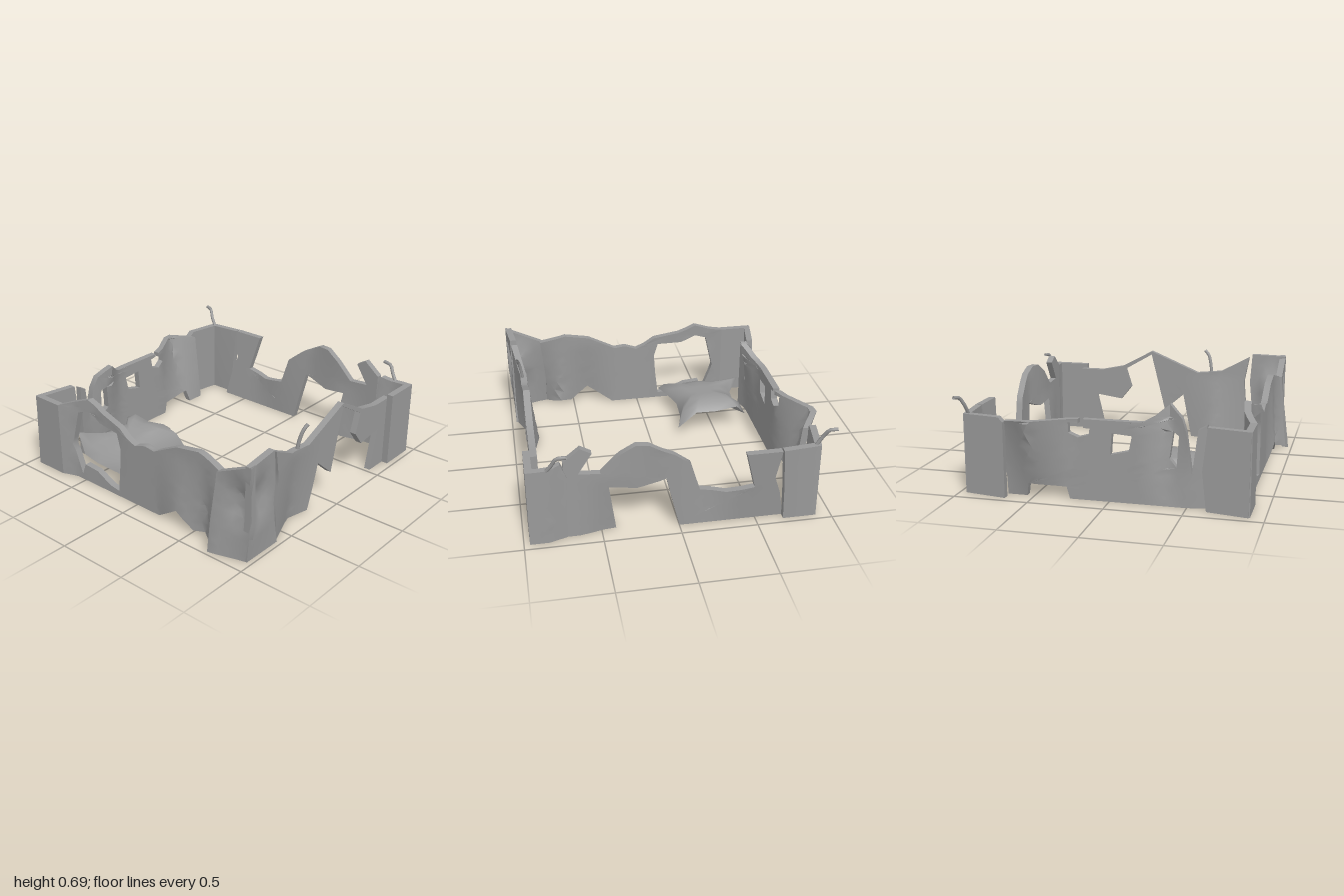
import * as THREE from 'three';
import { toCreasedNormals } from 'three/addons/utils/BufferGeometryUtils.js';

const T = 0.045; // wall thickness
const tri = (v, c, w) => Math.max(0, 1 - Math.abs(v - c) / w);
const low = (y, h) => Math.max(0, 1 - y / h);

// Halve the longest edge of every triangle until none is longer than max
function subdivide(geo, max) {
  const p = geo.attributes.position, stack = [], out = [];
  for (let i = 0; i < p.count; i += 3) {
    stack.push([0, 1, 2].map((k) => new THREE.Vector3().fromBufferAttribute(p, i + k)));
  }
  while (stack.length) {
    const t = stack.pop();
    const len = t.map((v, k) => v.distanceTo(t[(k + 1) % 3]));
    const k = len.indexOf(Math.max(...len));
    if (len[k] <= max) {
      for (const v of t) out.push(v.x, v.y, v.z);
      continue;
    }
    const a = t[k], b = t[(k + 1) % 3], c = t[(k + 2) % 3];
    const m = a.clone().add(b).multiplyScalar(0.5);
    stack.push([a, m, c], [m, b, c]);
  }
  return new THREE.BufferGeometry().setAttribute('position', new THREE.Float32BufferAttribute(out, 3));
}

export function createModel() {
  const model = new THREE.Group();
  const stone = new THREE.MeshStandardMaterial({ color: 0x999999, side: THREE.DoubleSide });
  stone.name = 'grey stone';

  const add = (name, geo) => {
    const mesh = new THREE.Mesh(geo, stone);
    mesh.name = name;
    model.add(mesh);
  };

  // Broken slab drawn as [along, height]; axis is the direction it runs,
  // base its position across, lean(along, y) bends it out of plane.
  function wall(name, axis, base, outline, lean = () => 0, holes = []) {
    const toV = (list) => list.map(([a, b]) => new THREE.Vector2(a, b));
    const shape = new THREE.Shape(toV(outline));
    for (const h of holes) shape.holes.push(new THREE.Path(toV(h)));
    const geo = subdivide(new THREE.ExtrudeGeometry(shape, { depth: T, bevelEnabled: false }), 0.09);
    const p = geo.attributes.position;
    for (let i = 0; i < p.count; i++) {
      const u = p.getX(i), y = p.getY(i), w = p.getZ(i) - T / 2, d = base + lean(u, y);
      if (axis === 'x') p.setXYZ(i, u, y, d + w);
      else p.setXYZ(i, d - w, y, u);
    }
    add(name, toCreasedNormals(geo, 0.6));
  }

  // Front wall with the large breach
  wall('frontWall', 'x', 0.843, [
    [-0.69, 0], [0.2, 0], [0.39, 0.13], [0.52, 0.03], [0.6, 0.04], [0.71, 0.01],
    [0.71, 0.22], [0.74, 0.54], [0.55, 0.59], [0.37, 0.56], [0.17, 0.46], [0.09, 0.47], [0, 0.44],
    [-0.07, 0.47], [-0.14, 0.52], [-0.33, 0.56], [-0.46, 0.615], [-0.69, 0.53],
  ], (x, y) => 0.06 * tri(x, 0.4, 0.2) * low(y, 0.5) + 0.1 * tri(x, 0.72, 0.1) * low(y, 0.55)
    - 0.035 * tri(x, -0.4, 0.3) * (y / 0.6) + 0.04 * tri(x, -0.69, 0.1)
    + 0.025 * tri(x, 0.75, 0.15) * Math.min(1, y * 2), [[
    [-0.53, 0.04], [-0.61, 0.25], [-0.57, 0.42], [-0.55, 0.5], [-0.46, 0.53], [-0.35, 0.48],
    [-0.17, 0.47], [-0.14, 0.37], [-0.15, 0.22], [-0.17, 0.04], [-0.25, 0.05], [-0.38, 0.11], [-0.5, 0.12],
  ]]);

  // Front corner on the -x side
  wall('frontCornerA', 'x', 0.885, [[-0.94, 0], [-0.69, 0], [-0.69, 0.53], [-0.92, 0.53], [-0.92, 0.3]]);
  wall('frontCornerASide', 'z', -0.875, [[0.63, 0], [0.9, 0], [0.9, 0.53], [0.63, 0.53], [0.6, 0.25]],
    (z, y) => -0.18 * (z - 0.63) + 0.02 * (y / 0.53));

  // Front corner on the +x side, dented on both faces and kicked out at the foot
  wall('frontCornerB', 'x', 0.885, [
    [0.71, 0], [0.955, 0], [0.985, 0.2], [0.99, 0.66], [0.73, 0.54], [0.71, 0.22],
  ], (x, y) => 0.07 * tri(x, 0.72, 0.22) * low(y, 0.5) - 0.06 * tri(x, 0.9, 0.1) * tri(y, 0.38, 0.19));
  wall('frontCornerBSide', 'z', 0.945, [
    [0.61, 0], [0.905, 0], [0.905, 0.655], [0.655, 0.665], [0.64, 0.45], [0.655, 0.3], [0.64, 0.18],
  ], (z, y) => 0.1 * (z - 0.65) * Math.min(1, y * 3) - 0.06 * tri(z, 0.79, 0.11) * tri(y, 0.4, 0.19));

  // +x wall with a broken archway
  wall('archWall', 'z', 0.895, [
    [0.6, 0], [0.35, 0], [0.19, 0], [0.12, 0.33], [-0.03, 0.2], [-0.14, 0.64], [-0.355, 0.515],
    [-0.31, 0.37], [-0.39, 0.27], [-0.6, 0.3], [-0.53, 0], [-0.72, 0], [-0.72, 0.5], [-0.55, 0.5],
    [-0.38, 0.535], [-0.14, 0.665], [0.23, 0.51], [0.42, 0.53], [0.63, 0.64], [0.595, 0.45], [0.615, 0.2],
  ], (z, y) => -0.06 * tri(z, 0.35, 0.27) * low(y, 0.5) + 0.045 * tri(z, 0.63, 0.25));

  // Back corner on the +x side
  wall('backCornerCSide', 'z', 0.94, [[-0.95, 0], [-0.69, 0], [-0.69, 0.53], [-0.95, 0.53]]);
  wall('backCornerC', 'x', -0.93, [
    [0.72, 0], [0.96, 0], [0.96, 0.53], [0.82, 0.53], [0.75, 0.55], [0.71, 0.45],
  ], (x) => 0.04 * tri(x, 0.72, 0.12));

  // Back wall: deep notch on top, torn gap below
  wall('backWall', 'x', -0.888, [
    [-0.69, 0], [0, 0], [0.09, 0.38], [0.28, 0.32], [0.45, 0.34], [0.405, 0], [0.72, 0],
    [0.73, 0.55], [0.62, 0.64], [0.55, 0.6], [0.64, 0.46], [0.5, 0.45], [0.38, 0.57], [0.28, 0.635],
    [0.2, 0.635], [0.04, 0.55], [-0.07, 0.46], [-0.13, 0.26], [-0.3, 0.23], [-0.48, 0.26], [-0.41, 0.53],
    [-0.64, 0.53], [-0.61, 0.32], [-0.65, 0.2],
  ], (x, y) => -0.075 * Math.min(1, Math.max(0, (-0.2 - x) / 0.2)) * (y / 0.53)
    - 0.035 * tri(x, 0.12, 0.25) * (y / 0.6) + 0.05 * tri(x, 0.43, 0.2) * low(y, 0.4));

  // Back corner on the -x side
  wall('backCornerD', 'x', -0.935, [[-0.9, 0], [-0.68, 0], [-0.67, 0.25], [-0.65, 0.53], [-0.9, 0.53]],
    (x, y) => -0.1 * (x + 0.9) * (y / 0.53));
  wall('backCornerDSide', 'z', -0.88, [[-0.95, 0], [-0.67, 0], [-0.67, 0.5], [-0.7, 0.53], [-0.95, 0.53]],
    (z) => -0.17 * (z + 0.95));

  // -x wall: outward bulge at the back, inward peak near the front
  wall('jaggedWall', 'z', -0.835, [
    [0.62, 0], [0.22, 0], [-0.26, 0], [-0.28, 0.08], [-0.53, 0.09], [-0.55, 0], [-0.68, 0],
    [-0.68, 0.5], [-0.53, 0.53], [-0.4, 0.53], [-0.28, 0.53], [-0.2, 0.53], [-0.2, 0.5], [-0.26, 0.51],
    [-0.26, 0.44], [-0.2, 0.41], [-0.13, 0.43], [-0.12, 0.5], [-0.17, 0.51], [-0.17, 0.53], [0.22, 0.53],
    [0.28, 0.56], [0.37, 0.635], [0.46, 0.56], [0.49, 0.48], [0.53, 0.22], [0.565, 0.5], [0.62, 0.53],
  ], (z, y) => -0.17 * tri(z, -0.5, 0.27) * (y / 0.53) + 0.1 * tri(z, 0.37, 0.16) * (y / 0.63)
    + 0.03 * tri(z, 0.62, 0.12), [
    [[0.01, 0.31], [0.13, 0.34], [0.15, 0.44], [0.02, 0.45]],
    [[0.38, 0.3], [0.43, 0.25], [0.44, 0.45], [0.4, 0.47]],
  ]);

  // Bent reinforcing rods
  const rods = [
    [[-0.87, 0.52, -0.93], [-0.91, 0.59, -0.94], [-0.94, 0.64, -0.96], [-0.99, 0.65, -0.975]],
    [[0.85, 0.5, -0.93], [0.8, 0.57, -0.95], [0.77, 0.62, -0.965], [0.71, 0.63, -0.975]],
    [[0.9, 0.5, 0.34], [0.91, 0.58, 0.33], [0.925, 0.65, 0.31], [0.935, 0.68, 0.28]],
  ];
  for (const r of rods) {
    const curve = new THREE.CatmullRomCurve3(r.map((q) => new THREE.Vector3(...q)));
    add('rod', new THREE.TubeGeometry(curve, 8, 0.012, 6));
  }

  // Crumpled sheet, hollow underneath: rim [x, y, z] drawn inward as rings
  const rim = [
    [-0.73, 0.12, 0.23], [-0.66, 0.2, 0.2], [-0.5, 0.17, 0.21], [-0.35, 0.19, 0.18], [-0.21, 0.08, 0.17],
    [-0.25, 0.1, 0.3], [-0.25, 0.13, 0.45], [-0.2, 0.13, 0.62], [-0.165, 0.1, 0.78], [-0.3, 0.08, 0.75],
    [-0.47, 0.11, 0.78], [-0.64, 0.1, 0.74], [-0.78, 0.2, 0.67], [-0.7, 0.12, 0.58], [-0.7, 0.1, 0.45],
    [-0.65, 0.12, 0.33],
  ];
  const rings = [[1, 0], [0.85, 0.65], [0.55, 1], [0.25, 1]]; // [scale, rise to the top]
  const n = rim.length, pos = [], index = [], cx = -0.46, cz = 0.47, top = 0.22;
  for (const [s, rise] of rings) {
    for (const [x, y, z] of rim) {
      const crown = top - 0.12 * s * (z - cz);
      pos.push(cx + s * (x - cx), y + (crown - y) * rise, cz + s * (z - cz));
    }
  }
  pos.push(cx, top, cz);
  for (let r = 0; r < rings.length; r++) {
    for (let i = 0; i < n; i++) {
      const a = r * n + i, b = r * n + (i + 1) % n;
      if (r === rings.length - 1) index.push(a, rings.length * n, b);
      else index.push(a, a + n, b, b, a + n, b + n);
    }
  }
  const sheet = new THREE.BufferGeometry();
  sheet.setAttribute('position', new THREE.Float32BufferAttribute(pos, 3));
  sheet.setIndex(index);
  sheet.computeVertexNormals();
  add('crumpledSheet', sheet);

  return model;
}
